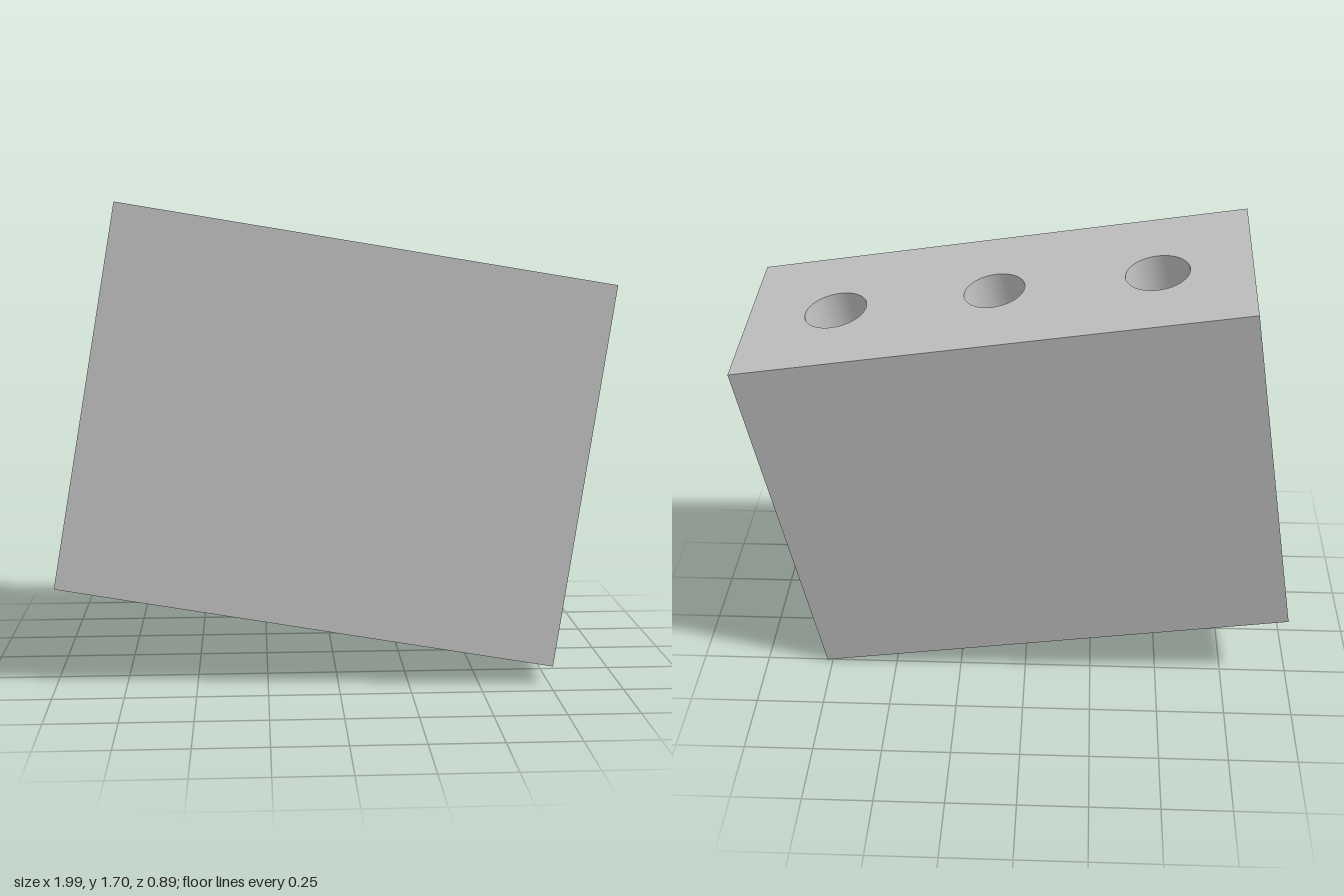
import * as THREE from 'three';
import { toCreasedNormals } from 'three/addons/utils/BufferGeometryUtils.js';

const WIDTH = 1.78, HEIGHT = 1.365, DEPTH = 0.7;

export function createModel() {
  const model = new THREE.Group();
  model.name = 'drilledBlock';

  const grey = new THREE.MeshStandardMaterial({ color: 0xc0c0c0 });
  grey.name = 'plain grey';

  // Block outline seen from above; shape y points to the back
  const w = WIDTH / 2, d = DEPTH / 2;
  const outline = new THREE.Shape([
    new THREE.Vector2(-w, -d), new THREE.Vector2(w, -d),
    new THREE.Vector2(w, d), new THREE.Vector2(-w, d),
  ]);

  // Three holes running through the full height: [x, back offset, radius]
  for (const [x, y, r] of [[-0.567, 0.015, 0.111], [0, 0.006, 0.107], [0.567, 0.014, 0.111]]) {
    outline.holes.push(new THREE.Path().absarc(x, y, r, 0, Math.PI * 2, true));
  }

  const geometry = new THREE.ExtrudeGeometry(outline, {
    depth: HEIGHT, bevelEnabled: false, curveSegments: 32,
  });
  geometry.translate(0, 0, -HEIGHT / 2);

  // Tilted pose: local x runs along the width, local z along the height
  const across = new THREE.Vector3(1.755, -0.29, 0.06).normalize();
  const up = new THREE.Vector3(0.225, 1.34, -0.13);
  const back = new THREE.Vector3().crossVectors(up, across).normalize();
  up.crossVectors(across, back);
  geometry.applyMatrix4(new THREE.Matrix4().makeBasis(across, back, up));

  // Stand the lowest corner on the ground, centred
  geometry.computeBoundingBox();
  const box = geometry.boundingBox, c = box.getCenter(new THREE.Vector3());
  geometry.translate(-c.x, -box.min.y, -c.z);

  const block = new THREE.Mesh(toCreasedNormals(geometry, Math.PI / 6), grey);
  block.name = 'block';
  model.add(block);
  return model;
}
